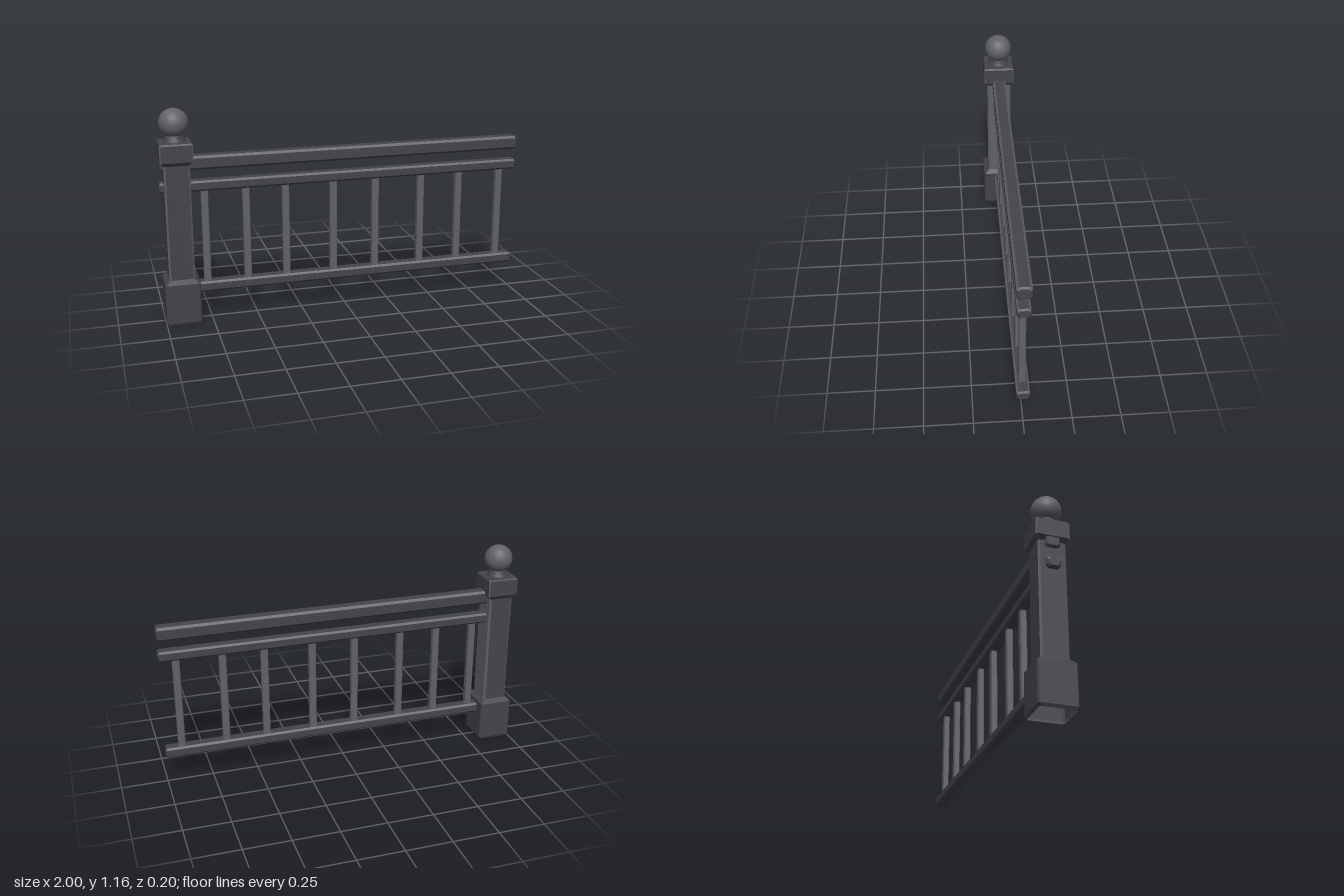
import * as THREE from 'three';

const dark = new THREE.MeshStandardMaterial({ color: 0x45444c, side: THREE.DoubleSide });
dark.name = 'darkIron';
const light = new THREE.MeshStandardMaterial({ color: 0x62616a, side: THREE.DoubleSide });
light.name = 'wornIron';

// Chamfered rectangular section: half sizes hx, hz and chamfer c
function ring([y, hx, hz, c]) {
  return [
    [hx, -hz + c], [hx, hz - c], [hx - c, hz], [-hx + c, hz],
    [-hx, hz - c], [-hx, -hz + c], [-hx + c, -hz], [hx - c, -hz],
  ].map(([x, z]) => [x, y, z]);
}

// Bar through sections along y. Sides run +x, edge, +z, edge, -x, edge, -z, edge.
function bar(name, sections, lightSides = [], openBottom = false) {
  const rings = sections.map(ring);
  const geo = new THREE.BufferGeometry();
  const pos = [];
  const add = (m, ...tris) => {
    geo.addGroup(pos.length / 3, tris.length, m);
    tris.forEach((p) => pos.push(...p));
  };
  for (let i = 0; i < rings.length - 1; i++) {
    for (let k = 0; k < 8; k++) {
      const n = (k + 1) % 8;
      const a = rings[i][k], b = rings[i][n], c = rings[i + 1][n], d = rings[i + 1][k];
      add(lightSides.includes(k) ? 1 : 0, a, c, b, a, d, c);
    }
  }
  const top = rings[rings.length - 1], low = rings[0];
  for (let k = 1; k < 7; k++) {
    add(0, top[0], top[k + 1], top[k]);
    if (!openBottom) add(0, low[0], low[k], low[k + 1]);
  }
  geo.setAttribute('position', new THREE.Float32BufferAttribute(pos, 3));
  geo.computeVertexNormals();
  const mesh = new THREE.Mesh(geo, [dark, light]);
  mesh.name = name;
  return mesh;
}

// Horizontal rail along x with softened ends and worn upper edges
function rail(name, x0, x1, y, halfHeight, halfDepth, c) {
  const e = 0.008;
  const mesh = bar(name, [
    [x0, halfHeight - e, halfDepth - e, c],
    [x0 + e, halfHeight, halfDepth, c],
    [x1 - e, halfHeight, halfDepth, c],
    [x1, halfHeight - e, halfDepth - e, c],
  ], [3, 5]);
  mesh.rotation.z = -Math.PI / 2;
  mesh.position.y = y;
  return mesh;
}

export function createModel() {
  const model = new THREE.Group();
  model.name = 'railing';

  // Newel post
  const post = new THREE.Group();
  post.name = 'post';
  post.position.x = -0.907;
  post.add(bar('postBase', [
    [0, 0.085, 0.09, 0.008],
    [0.015, 0.093, 0.098, 0.008],
    [0.23, 0.093, 0.098, 0.008],
    [0.25, 0.07, 0.073, 0.008],
  ], [], true));
  post.add(bar('postShaft', [
    [0.23, 0.068, 0.071, 0.01],
    [0.89, 0.068, 0.071, 0.01],
  ], [0, 1, 3, 5, 7]));
  post.add(bar('postCap', [
    [0.867, 0.068, 0.071, 0.006],
    [0.888, 0.086, 0.087, 0.006],
    [0.976, 0.086, 0.087, 0.006],
    [0.984, 0.08, 0.081, 0.006],
  ], [1, 3, 5, 7]));

  // Finial neck and ball
  const profile = [[0.06, 0.98], [0.06, 0.992], [0.045, 1.005], [0.05, 1.015], [0.035, 1.03]];
  const neck = new THREE.Mesh(
    new THREE.LatheGeometry(profile.map(([r, y]) => new THREE.Vector2(r, y)), 16), dark);
  neck.name = 'finialNeck';
  const ball = new THREE.Mesh(new THREE.SphereGeometry(0.077, 20, 14), light);
  ball.name = 'finialBall';
  ball.position.y = 1.08;
  post.add(neck, ball);
  model.add(post);

  // Rails
  model.add(
    rail('handrail', -0.99, 1, 0.868, 0.037, 0.038, 0.012),
    rail('middleRail', -0.998, 1, 0.743, 0.028, 0.034, 0.01),
    rail('bottomRail', -0.98, 1, 0.182, 0.028, 0.034, 0.01),
  );

  // Balusters, flared slightly where they meet the rails
  const xs = [-0.765, -0.545, -0.33, -0.065, 0.175, 0.44, 0.665, 0.91];
  xs.forEach((x) => {
    const baluster = bar('baluster', [
      [0.19, 0.024, 0.021, 0.004],
      [0.215, 0.019, 0.017, 0.004],
      [0.71, 0.019, 0.017, 0.004],
      [0.735, 0.024, 0.021, 0.004],
    ], [0, 1, 2, 3, 4, 5, 6, 7]);
    baluster.position.x = x;
    model.add(baluster);
  });

  return model;
}
